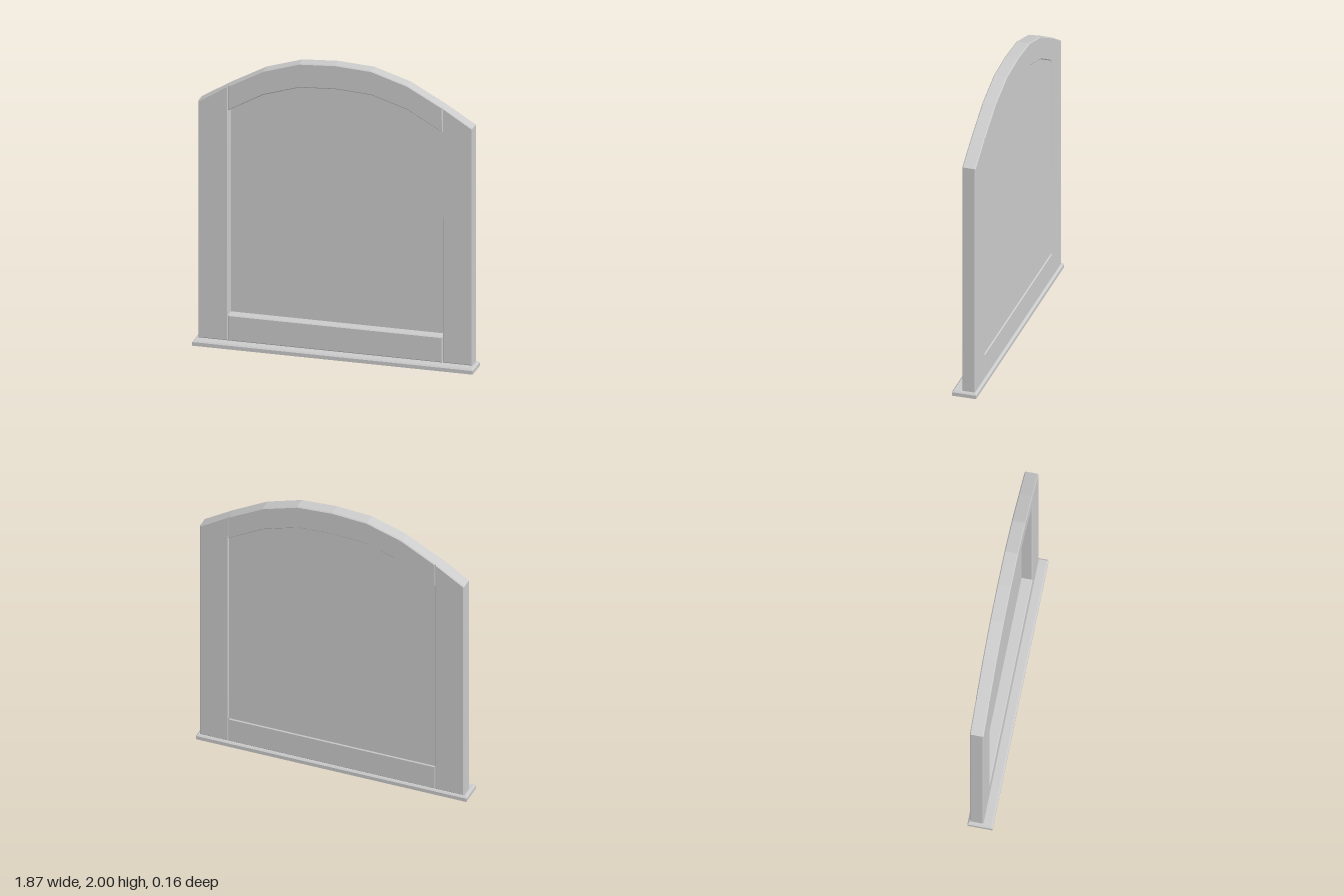
import * as THREE from 'three';

const BACK = -0.07, FRONT = 0.02, BEVEL = 0.006;
const material = new THREE.MeshStandardMaterial({ color: 0xcccccc });

// Extrudes an outline from z0 to z1; the bevel stays inside the outline
function board(name, points, z0 = BACK, z1 = FRONT, bevel = BEVEL) {
  const shape = new THREE.Shape(points.map(([x, y]) => new THREE.Vector2(x, y)));
  const geometry = new THREE.ExtrudeGeometry(shape, {
    depth: z1 - z0 - 2 * bevel,
    bevelEnabled: bevel > 0,
    bevelSize: bevel,
    bevelThickness: bevel,
    bevelOffset: -bevel,
    bevelSegments: 1,
  });
  geometry.translate(0, 0, z0 + bevel);
  const mesh = new THREE.Mesh(geometry, material);
  mesh.name = name;
  return mesh;
}

// Completes a right-to-centre curve with its mirror image
const mirror = (half) => [
  ...half,
  ...half.slice(0, -1).reverse().map(([x, y]) => [-x, y]),
];

// Sill: a flat slab whose upper edge is chamfered all round
function createSill() {
  const height = 0.035, chamfer = 0.01;
  const box = new THREE.BoxGeometry(1.87, height, 0.164, 1, 2, 1);
  const p = box.attributes.position;
  for (let i = 0; i < p.count; i++) {
    const y = p.getY(i);
    if (y > 0.001) {
      p.setX(i, p.getX(i) - Math.sign(p.getX(i)) * chamfer);
      p.setZ(i, p.getZ(i) - Math.sign(p.getZ(i)) * chamfer);
    } else if (y > -0.001) {
      p.setY(i, height / 2 - chamfer);
    }
  }
  const geometry = box.toNonIndexed();
  geometry.computeVertexNormals();
  geometry.translate(0, height / 2, 0);
  const mesh = new THREE.Mesh(geometry, material);
  mesh.name = 'sill';
  return mesh;
}

export function createModel() {
  const group = new THREE.Group();
  group.name = 'archedPanel';

  const archTop = mirror([[0.716, 1.782], [0.48, 1.91], [0.24, 1.985], [0, 2]]);
  const archBottom = mirror([[0.716, 1.613], [0.48, 1.745], [0.24, 1.82], [0, 1.835]]);

  group.add(createSill());

  // Upright stiles with sloping tops
  for (const [name, s] of [['leftStile', 1], ['rightStile', -1]]) {
    group.add(board(name, [
      [s * 0.716, 0.035], [s * 0.914, 0.035], [s * 0.914, 1.66], [s * 0.716, 1.782],
    ]));
  }

  // Arched top rail
  group.add(board('archRail', [...archTop, ...[...archBottom].reverse()]));

  // Straight bottom rail
  group.add(board('bottomRail', [
    [-0.716, 0.035], [0.716, 0.035], [0.716, 0.21], [-0.716, 0.21],
  ]));

  // Thin panel set near the back, its edges let into the frame
  group.add(board('panel', [
    [-0.73, 0.19], [0.73, 0.19],
    ...archBottom.map(([x, y]) => [x * 1.02, y + 0.02]),
  ], -0.063, -0.052, 0));

  return group;
}
